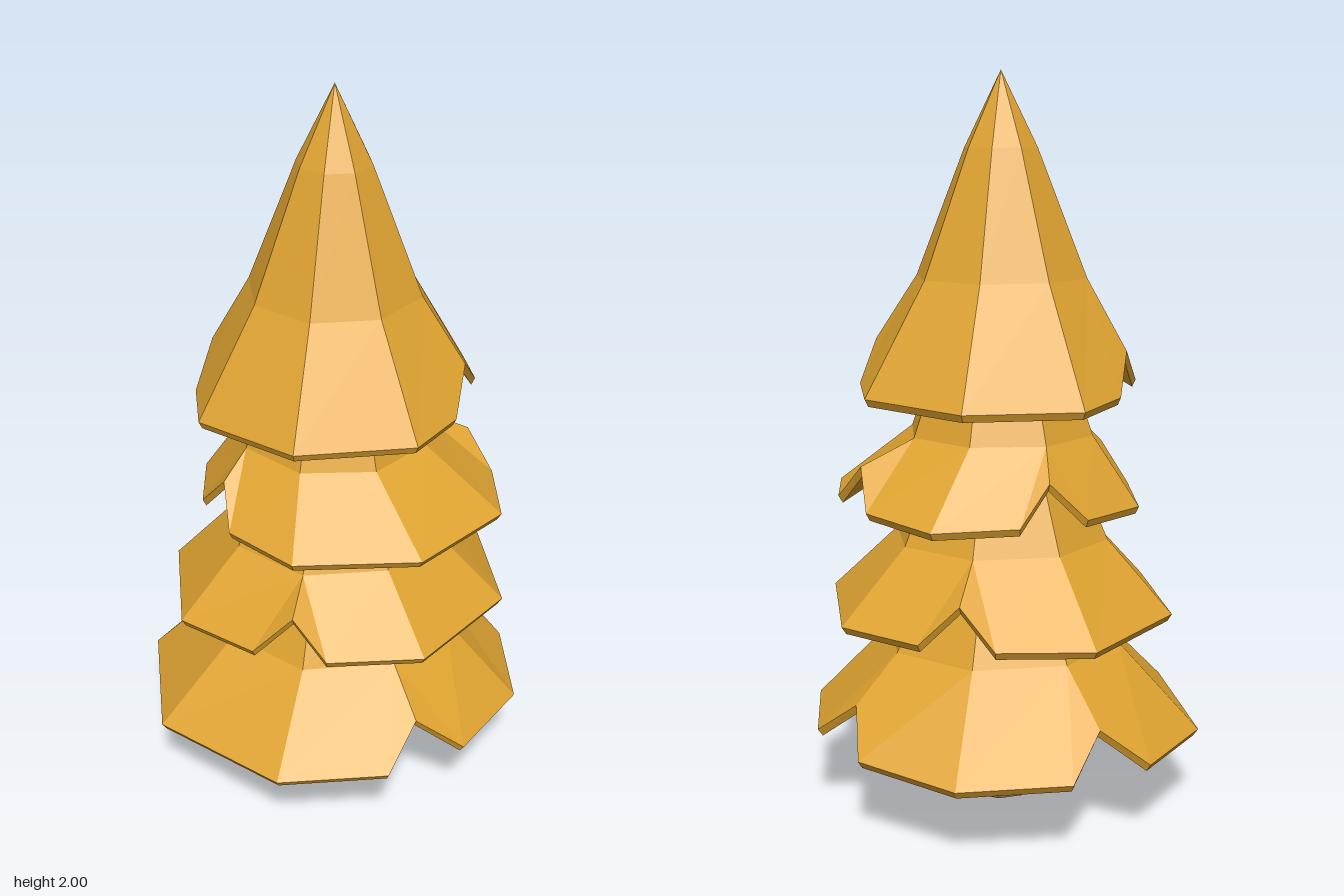
import * as THREE from 'three';

// rings: [radius, height] from the top down to the fold; start: angle of the first of eight ridges;
// notched: ridges that split at the rim into two corners, `spread` degrees to either side
const TIERS = [
  { name: 'bottomBranches', rings: [[0.2, 0.72], [0.33, 0.46]], radius: 0.55, rimY: 0.23,
    x: 0, z: 0, start: -14, notched: [0, 2, 6], spread: 13, corner: 0.98 },
  { name: 'lowerMiddleBranches', rings: [[0.19, 1.0], [0.3, 0.75]], radius: 0.485, rimY: 0.56,
    x: 0.015, z: 0, start: -13, notched: [3, 7], spread: 13, corner: 0.94 },
  { name: 'upperMiddleBranches', rings: [[0.16, 1.32], [0.26, 1.04]], radius: 0.435, rimY: 0.86,
    x: 0.045, z: 0.03, start: -9, notched: [0, 4, 6], spread: 14, corner: 0.94 },
  { name: 'topBranches', rings: [[0, 2], [0.1, 1.8], [0.235, 1.46]], radius: 0.41, rimY: 1.165,
    x: 0.015, z: 0, start: -14, notched: [1, 5], spread: 20, corner: 0.92 },
];
const SIDES = 8;
const AXIS_X = 0.01; // the tree leans a hair off centre

function polar(x, z, radius, y, degrees) {
  const a = THREE.MathUtils.degToRad(degrees);
  return [x + radius * Math.cos(a), y, z + radius * Math.sin(a)];
}

// Rim corners in order, each tied to its ridge; the rim tips slightly down at the back
function rimPoints({ radius, rimY, x, z, start, notched, spread, corner }) {
  const rim = [];
  for (let ridge = 0; ridge < SIDES; ridge++) {
    const angle = start + (ridge * 360) / SIDES;
    const add = (scale, turn, lift) => {
      const p = polar(x, z, radius * scale, rimY + lift, angle + turn);
      p[1] += 0.035 * p[2];
      rim.push({ p, ridge });
    };
    if (notched.includes(ridge)) {
      add(corner, -spread, 0.01);
      add(0.85, 0, 0.11);
      add(corner, spread, 0.01);
    } else {
      add(1, 0, 0);
    }
  }
  return rim;
}

// Folded, notched shell with a thin lip and a hollow underside
function tierGeometry(tier) {
  const { rings, start } = tier;
  const pos = [];
  const tri = (a, b, c) => pos.push(...a, ...b, ...c);
  const ringPoints = (radius, y) => Array.from({ length: SIDES }, (_, i) =>
    polar(AXIS_X, 0, radius, y, start + (i * 360) / SIDES));

  const outer = rings.map(([r, y]) => ringPoints(r, y));
  const inner = rings.map(([r, y]) => ringPoints(r * 0.92, y - 0.035));
  const edge = rimPoints(tier);
  const lip = edge.map(({ p, ridge }) => ({ p: [p[0] * 0.975, p[1] - 0.02, p[2] * 0.975], ridge }));

  function shell(levels, border, face) {
    const fold = levels[levels.length - 1];
    border.forEach((a, i) => {
      const b = border[(i + 1) % border.length];
      face(b.p, a.p, fold[a.ridge]);
      if (a.ridge !== b.ridge) face(b.p, fold[a.ridge], fold[b.ridge]);
    });
    for (let l = 0; l + 1 < levels.length; l++) {
      const up = levels[l], low = levels[l + 1];
      for (let i = 0; i < SIDES; i++) {
        const j = (i + 1) % SIDES;
        face(low[j], low[i], up[i]);
        if (rings[l][0] > 0) face(low[j], up[i], up[j]);
      }
    }
  }
  shell(outer, edge, tri);
  shell(inner, lip, (a, b, c) => tri(a, c, b));

  // lip joining the two shells
  edge.forEach((a, i) => {
    const j = (i + 1) % edge.length;
    tri(lip[j].p, lip[i].p, a.p);
    tri(lip[j].p, a.p, edge[j].p);
  });

  const geometry = new THREE.BufferGeometry();
  geometry.setAttribute('position', new THREE.Float32BufferAttribute(pos, 3));
  geometry.computeVertexNormals();
  return geometry;
}

export function createModel() {
  const tree = new THREE.Group();
  tree.name = 'tree';

  const foliage = new THREE.MeshStandardMaterial({ color: 0xe0a431 });
  foliage.name = 'golden foliage';
  const bark = new THREE.MeshStandardMaterial({ color: 0x7d594d });
  bark.name = 'brown bark';

  for (const tier of TIERS) {
    const mesh = new THREE.Mesh(tierGeometry(tier), foliage);
    mesh.name = tier.name;
    tree.add(mesh);
  }

  // Trunk flaring at the foot
  const profile = [[0, 0], [0.088, 0], [0.06, 0.14], [0.058, 0.7], [0, 0.7]]
    .map(([r, y]) => new THREE.Vector2(r, y));
  const trunkGeometry = new THREE.LatheGeometry(profile, SIDES, Math.PI / 8).toNonIndexed();
  trunkGeometry.computeVertexNormals();
  const trunk = new THREE.Mesh(trunkGeometry, bark);
  trunk.name = 'trunk';
  trunk.position.x = AXIS_X;
  tree.add(trunk);

  return tree;
}
